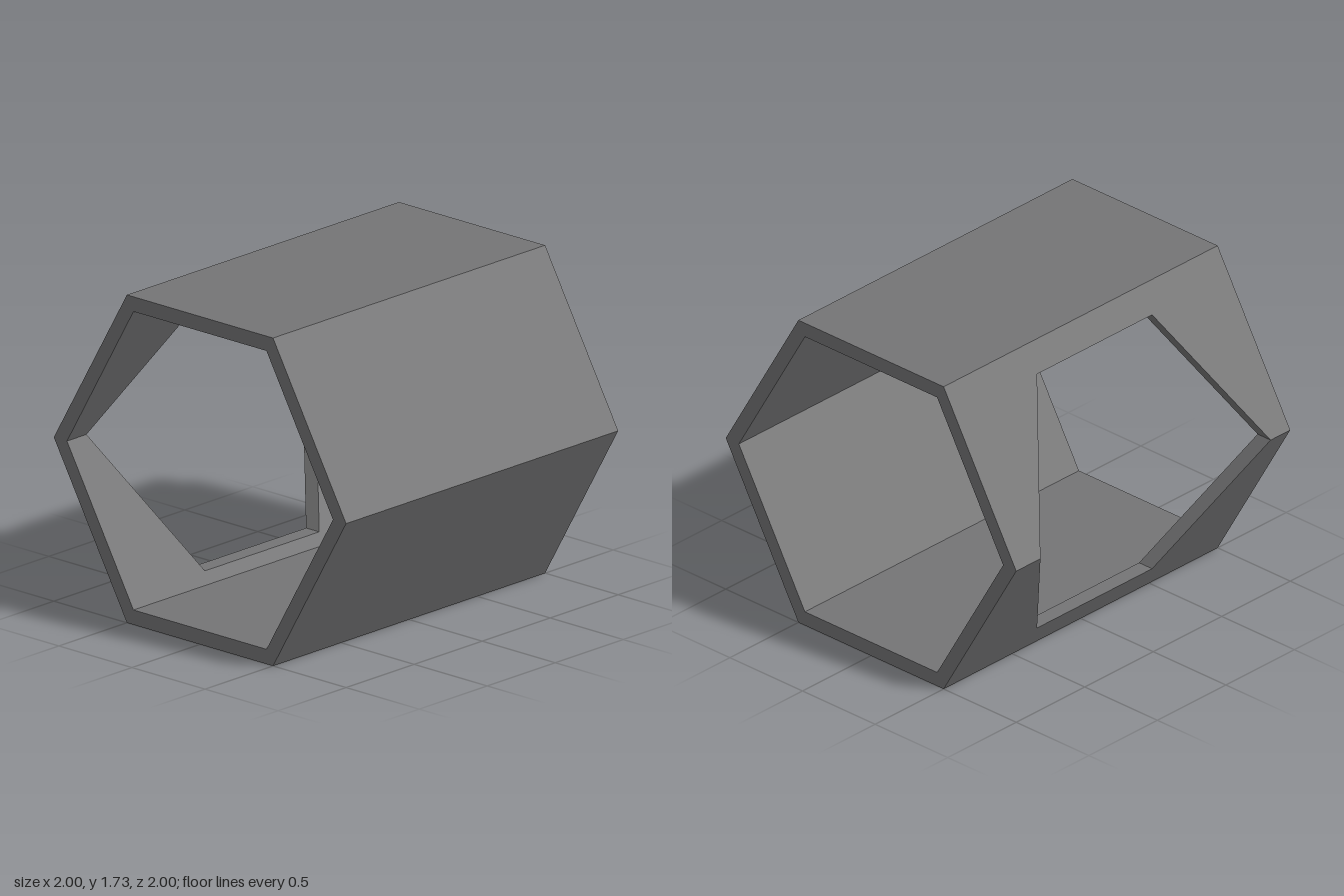
import * as THREE from 'three';

const OUTER = 1, INNER = 0.91;          // hexagon corner radii
const APOTHEM = Math.sqrt(3) / 2;       // half height of the outer hexagon
const HOLE_R = 0.84, HOLE_X = -0.017;   // hexagonal window in the back

// Hexagon corner as (z, y), counted in 60 degree steps from the front corner
const corner = (r, i) => [r * Math.cos(i * Math.PI / 3), r * Math.sin(i * Math.PI / 3)];

// Four closed panels: bottom, two front panels and top, as one C-shaped profile
function frontShell() {
  const pts = [];
  for (let i = -2; i <= 2; i++) pts.push(corner(OUTER, i));
  for (let i = 2; i >= -2; i--) pts.push(corner(INNER, i));
  const shape = new THREE.Shape(pts.map(([z, y]) => new THREE.Vector2(-z, y)));
  const geo = new THREE.ExtrudeGeometry(shape, { depth: 2, bevelEnabled: false });
  geo.translate(0, 0, -1);
  geo.rotateY(Math.PI / 2); // shape x becomes -z, extrusion runs along x
  return geo;
}

// Slanted back panel with half of the window cut out; side = 1 upper, -1 lower
function backPanel(side) {
  const h = HOLE_R * APOTHEM;
  const pts = [
    [-1, 0], [HOLE_X - HOLE_R, 0], [HOLE_X - HOLE_R / 2, h], [HOLE_X + HOLE_R / 2, h],
    [HOLE_X + HOLE_R, 0], [1, 0], [1, APOTHEM], [-1, APOTHEM],
  ];
  const shape = new THREE.Shape(pts.map(([x, y]) => new THREE.Vector2(x, y * side)));
  const geo = new THREE.ExtrudeGeometry(shape, { depth: 1, bevelEnabled: false });
  const p = geo.attributes.position;
  // Lean the two faces onto the outer and inner hexagon sides, mitred at the far edge
  for (let i = 0; i < p.count; i++) {
    const r = p.getZ(i) > 0.5 ? INNER : OUTER;
    const d = Math.min(Math.abs(p.getY(i)), r * APOTHEM);
    p.setY(i, d * side);
    p.setZ(i, -(r - d / Math.sqrt(3)));
  }
  geo.computeVertexNormals();
  return geo;
}

export function createModel() {
  const group = new THREE.Group();
  group.name = 'hexagonalTube';
  const grey = new THREE.MeshStandardMaterial({ color: 0x757576 });
  grey.name = 'grey';

  const add = (name, geo) => {
    const mesh = new THREE.Mesh(geo, grey);
    mesh.name = name;
    mesh.position.y = APOTHEM;
    group.add(mesh);
  };
  add('frontShell', frontShell());
  add('upperBackPanel', backPanel(1));
  add('lowerBackPanel', backPanel(-1));
  return group;
}
